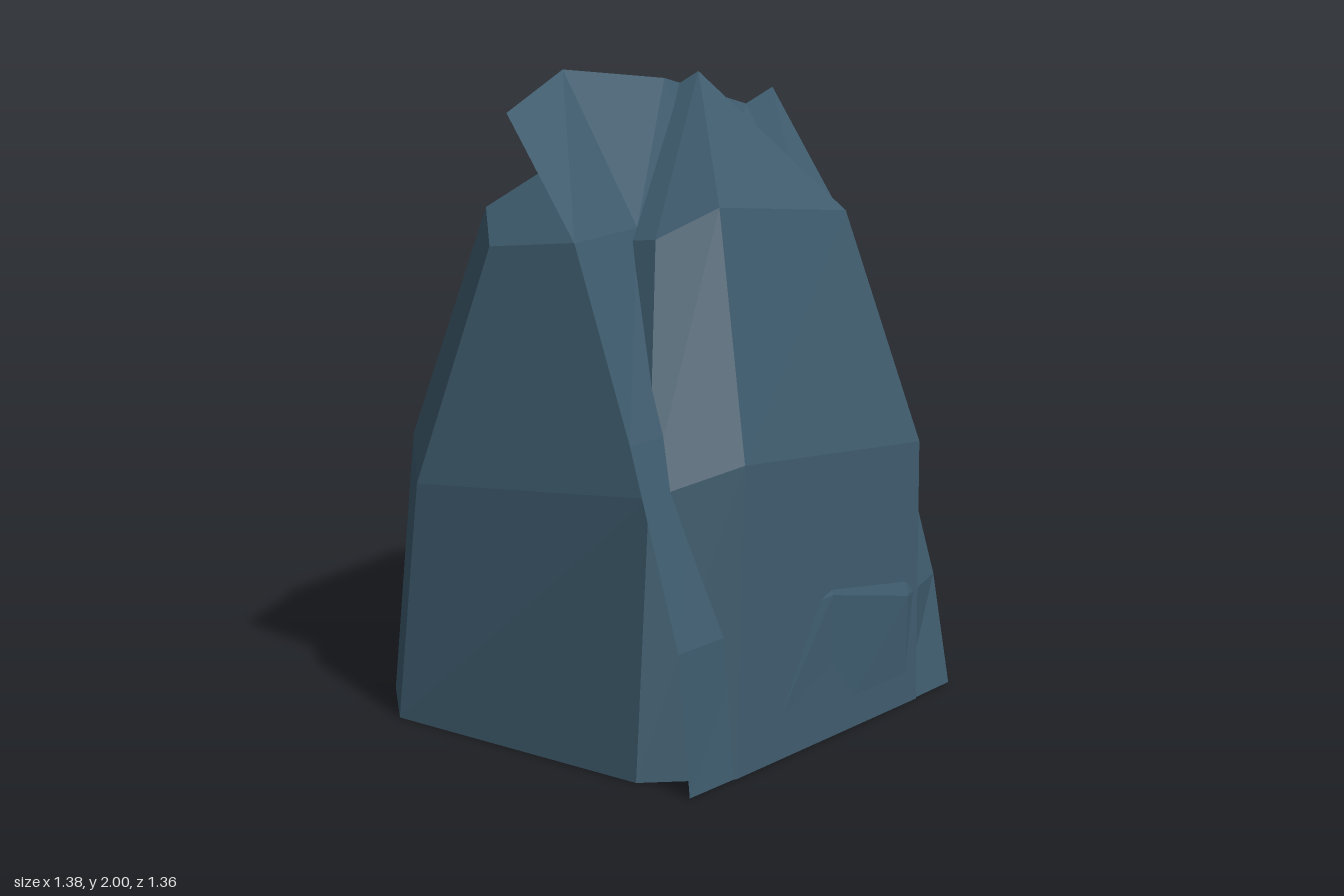
import * as THREE from 'three';

// Joins rows of points into quads; closed rows wrap around.
function loft(rows, closed) {
  const n = rows[0].length, index = [];
  for (let r = 0; r < rows.length - 1; r++) {
    for (let i = 0; i < (closed ? n : n - 1); i++) {
      const j = (i + 1) % n;
      const a = r * n + i, b = r * n + j, c = a + n, d = b + n;
      index.push(a, b, d, a, d, c);
    }
  }
  const geo = new THREE.BufferGeometry();
  geo.setAttribute('position', new THREE.Float32BufferAttribute(rows.flat(2), 3));
  geo.setIndex(index);
  const flat = geo.toNonIndexed();
  flat.computeVertexNormals();
  return flat;
}

// Chamfered square: sx, sz are the outer half sizes, cx, cz where the chamfers begin.
function octagon(ox, sx, sz, cx, cz, heights) {
  return [
    [-cx, sz], [cx, sz], [sx, cz], [sx, -cz],
    [cx, -sz], [-cx, -sz], [-sx, -cz], [-sx, cz],
  ].map(([x, z], i) => [x + ox, heights[i % 4], z]);
}

// Rounder ring for the hollow underside.
function innerRing(r, y) {
  return octagon(0, r, r, r * 0.42, r * 0.42, [y, y, y, y]);
}

function point(x, y, z) {
  return Array.from({ length: 8 }, () => [x, y, z]);
}

export function createModel() {
  const group = new THREE.Group();
  const slate = new THREE.MeshStandardMaterial({ color: 0x3e5b6d, flatShading: true, side: THREE.DoubleSide });
  slate.name = 'slate blue';

  // Faceted shell: domed hollow, grooved bottom rim, outer wall and pointed roof
  const shell = new THREE.Mesh(loft([
    point(0, 0.62, 0),
    innerRing(0.3, 0.54),
    innerRing(0.5, 0.33),
    innerRing(0.58, 0.01),
    octagon(-0.014, 0.63, 0.625, 0.36, 0.36, [0.04, 0.04, 0.04, 0.04]),
    octagon(-0.014, 0.672, 0.676, 0.468, 0.467, [0, 0, 0, 0]),
    octagon(0.04, 0.647, 0.647, 0.45, 0.452, [0.92, 0.82, 0.73, 0.83]),
    octagon(0.04, 0.45, 0.45, 0.318, 0.32, [1.63, 1.54, 1.45, 1.54]),
    point(0.113, 1.96, 0.07),
  ], true), slate);
  shell.name = 'shell';
  group.add(shell);

  // Bent sheet leaning back through the shell, given as [y, z] per column
  const columns = [-0.69, -0.37, 0.01, 0.395, 0.656];
  const profile = [
    [[0, 0.667], [0, 0.674], [0, 0.67], [0, 0.67], [0, 0.665]],
    [[0.42, 0.625], [0.42, 0.63], [0.44, 0.666], [0.35, 0.679], [0.35, 0.6]],
    [[1.0, 0.45], [1.0, 0.45], [0.96, 0.455], [0.9, 0.46], [0.86, 0.44]],
    [[1.56, 0.25], [1.56, 0.22], [1.54, 0.23], [1.49, 0.26], [1.5, 0.2]],
    [[1.91, 0], [2.0, -0.06], [1.945, 0.02], [1.83, 0.04], [1.85, -0.05]],
  ];
  const rows = profile.map((row) => row.map(([y, z], i) => [columns[i], y, z]));
  const sheet = new THREE.Mesh(loft(rows, false), slate);
  sheet.name = 'leaningSheet';
  group.add(sheet);

  return group;
}
